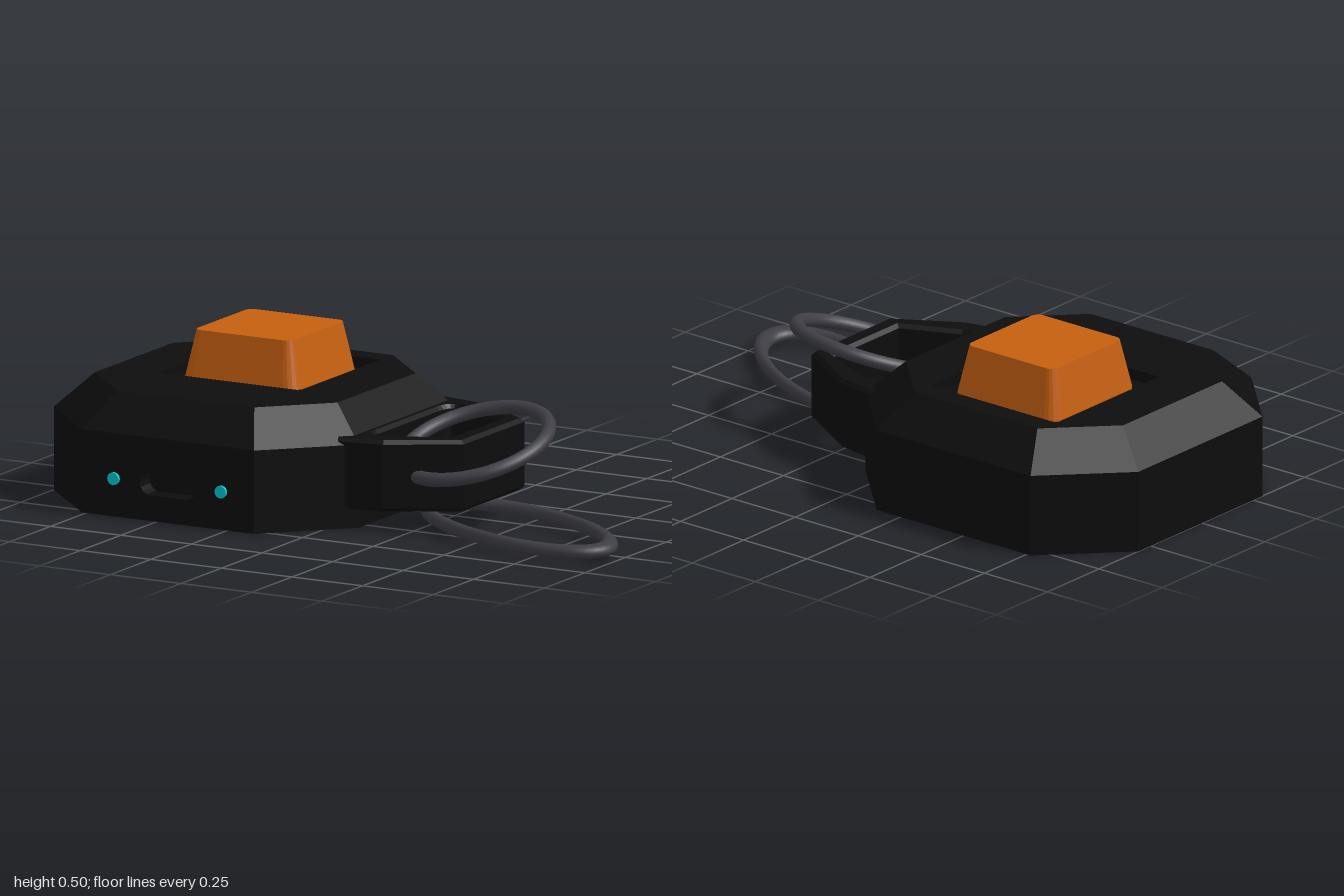
import * as THREE from 'three';

const mat = (name, color) => {
  const m = new THREE.MeshStandardMaterial({ color });
  m.name = name;
  return m;
};
const V2 = (x, y) => new THREE.Vector2(x, y);

// Rounded rectangle outline, counterclockwise
function roundRect(w, h, r, cx = 0, cy = 0, seg = 4) {
  const pts = [];
  [[1, 1], [-1, 1], [-1, -1], [1, -1]].forEach(([sx, sy], q) => {
    for (let i = 0; i <= seg; i++) {
      const a = (q + i / seg) * Math.PI / 2;
      pts.push(V2(cx + sx * (w / 2 - r) + r * Math.cos(a), cy + sy * (h / 2 - r) + r * Math.sin(a)));
    }
  });
  return pts;
}

// Flat-faced walls between stacked outlines; each level is [outline, height].
// Listing levels from high to low turns the walls inward.
function loft(levels, skip = () => false) {
  const pos = [];
  for (let l = 0; l + 1 < levels.length; l++) {
    const [lo, y0] = levels[l], [hi, y1] = levels[l + 1];
    lo.forEach((p, i) => {
      if (skip(l, i)) return;
      const j = (i + 1) % lo.length;
      const a = [p.x, y0, -p.y], b = [lo[j].x, y0, -lo[j].y];
      const c = [hi[j].x, y1, -hi[j].y], d = [hi[i].x, y1, -hi[i].y];
      pos.push(...a, ...b, ...c, ...a, ...c, ...d);
    });
  }
  const g = new THREE.BufferGeometry();
  g.setAttribute('position', new THREE.Float32BufferAttribute(pos, 3));
  g.computeVertexNormals();
  return g;
}

// Flat face with optional holes
function face(outline, holes = []) {
  const s = new THREE.Shape(outline);
  holes.forEach(h => s.holes.push(new THREE.Path(h)));
  return new THREE.ShapeGeometry(s);
}
const faceUp = (y, ...a) => face(...a).rotateX(-Math.PI / 2).translate(0, y, 0);
const faceDown = (y, ...a) => face(...a).rotateX(Math.PI / 2).translate(0, y, 0);

export function createModel() {
  const black = mat('black plastic', 0x0d0d0d);
  const orange = mat('orange keycap', 0xc45f10);
  const steel = mat('dark steel', 0x3f3e46);
  const cyan = mat('cyan light', 0x00c8d2);

  const model = new THREE.Group();
  const add = (parent, name, geo, m) => {
    const mesh = new THREE.Mesh(geo, m);
    mesh.name = name;
    parent.add(mesh);
    return mesh;
  };

  // Octagonal case with chamfered top
  const body = new THREE.Group();
  body.name = 'case';
  body.position.set(-0.46, 0, -0.007);
  model.add(body);
  const W = 0.54, D = 0.537, cw = 0.305, cd = 0.302, inset = 0.796;
  const octagon = [[W, -cd], [W, cd], [cw, D], [-cw, D], [-W, cd], [-W, -cd], [-cw, -D], [cw, -D]]
    .map(([x, y]) => V2(x, y));
  const topOctagon = octagon.map(p => p.clone().multiplyScalar(inset));
  const shoulder = 0.262, top = 0.37;
  add(body, 'caseWalls', loft([[octagon, 0], [octagon, shoulder], [topOctagon, top]],
    (l, i) => l === 0 && i === 6), black);

  // Top plate with the sunken well for the key
  const well = roundRect(0.5, 0.5, 0.01, -0.0075, 0.103, 1);
  add(body, 'topPlate', faceUp(top, topOctagon, [well]), black);
  add(body, 'keyWellWalls', loft([[well, top], [well, 0.335]]), black);
  add(body, 'keyWellFloor', faceUp(0.335, well), black);

  // Front wall with charging port
  const port = roundRect(0.2, 0.08, 0.038, 0, 0.12);
  const frontWall = [V2(-cw, 0), V2(cw, 0), V2(cw, shoulder), V2(-cw, shoulder)];
  add(body, 'frontWall', face(frontWall, [port]).translate(0, 0, D), black);
  add(body, 'portWalls', loft([[port, D], [port, D - 0.06]]).rotateX(Math.PI / 2), black);
  add(body, 'portBack', face(port).translate(0, 0, D - 0.06), black);

  // Underside with two screw holes
  const screws = [-0.36, 0.36].map(x => roundRect(0.1, 0.1, 0.0499, x, 0));
  add(body, 'basePlate', faceDown(0, octagon, screws), black);
  screws.forEach(s => {
    add(body, 'screwHole', loft([[s, 0.04], [s, 0]]), black);
    add(body, 'screwHead', faceDown(0.04, s), black);
  });

  // Status lights on the front wall
  for (const x of [-0.19, 0.19]) {
    const light = add(body, 'statusLight', new THREE.CylinderGeometry(0.02, 0.02, 0.02, 12), cyan);
    light.rotation.x = Math.PI / 2;
    light.position.set(x, 0.12, D);
  }

  // Tapered keycap
  const key = new THREE.Group();
  key.name = 'keycap';
  key.position.set(-0.4675, 0, -0.11);
  model.add(key);
  const keyLow = roundRect(0.405, 0.405, 0.04), keyHigh = roundRect(0.342, 0.342, 0.025);
  add(key, 'keycapSides', loft([[keyLow, 0.336], [keyLow, 0.345], [keyHigh, 0.5]]), orange);
  add(key, 'keycapTop', faceUp(0.5, keyHigh), orange);

  // Lug with a rounded trapezoid opening
  const bv = 0.012;
  const lugShape = new THREE.Shape([[-0.05, -0.32], [0.03, -0.328], [0.168, -0.303], [0.373, -0.18],
    [0.373, 0.18], [0.168, 0.303], [0.03, 0.328], [-0.05, 0.32]].map(([x, y]) => V2(x, y)));
  const opening = new THREE.Path();
  opening.moveTo(0.071, -0.19);
  opening.quadraticCurveTo(0.071, -0.27, 0.14, -0.25);
  opening.lineTo(0.332, -0.165);
  opening.lineTo(0.332, 0.165);
  opening.lineTo(0.14, 0.25);
  opening.quadraticCurveTo(0.071, 0.27, 0.071, 0.19);
  opening.closePath();
  lugShape.holes.push(opening);
  const lug = add(model, 'keyringLug', new THREE.ExtrudeGeometry(lugShape, {
    depth: 0.225 - 2 * bv, bevelEnabled: true, bevelSize: bv, bevelThickness: bv,
    bevelSegments: 1, curveSegments: 6,
  }).rotateX(-Math.PI / 2), black);
  lug.position.set(0, 0.06 + bv, -0.01);

  // Round ring, threaded through the lug at a tilt
  const ringGeo = () => new THREE.TorusGeometry(0.235, 0.022, 12, 56).rotateX(Math.PI / 2);
  const ring = add(model, 'tiltedRing', ringGeo(), steel);
  ring.quaternion.setFromUnitVectors(new THREE.Vector3(0, 1, 0),
    new THREE.Vector3(-0.11, 1, 0.32).normalize());
  ring.position.set(0.345, 0.245, 0.038);

  // Long oval ring lying flat
  const oval = add(model, 'flatOvalRing', ringGeo(), steel);
  oval.scale.set(1.74, 1, 0.75);
  oval.rotation.y = -24.4 * Math.PI / 180;
  oval.position.set(0.585, 0.036, 0.183);

  return model;
}
